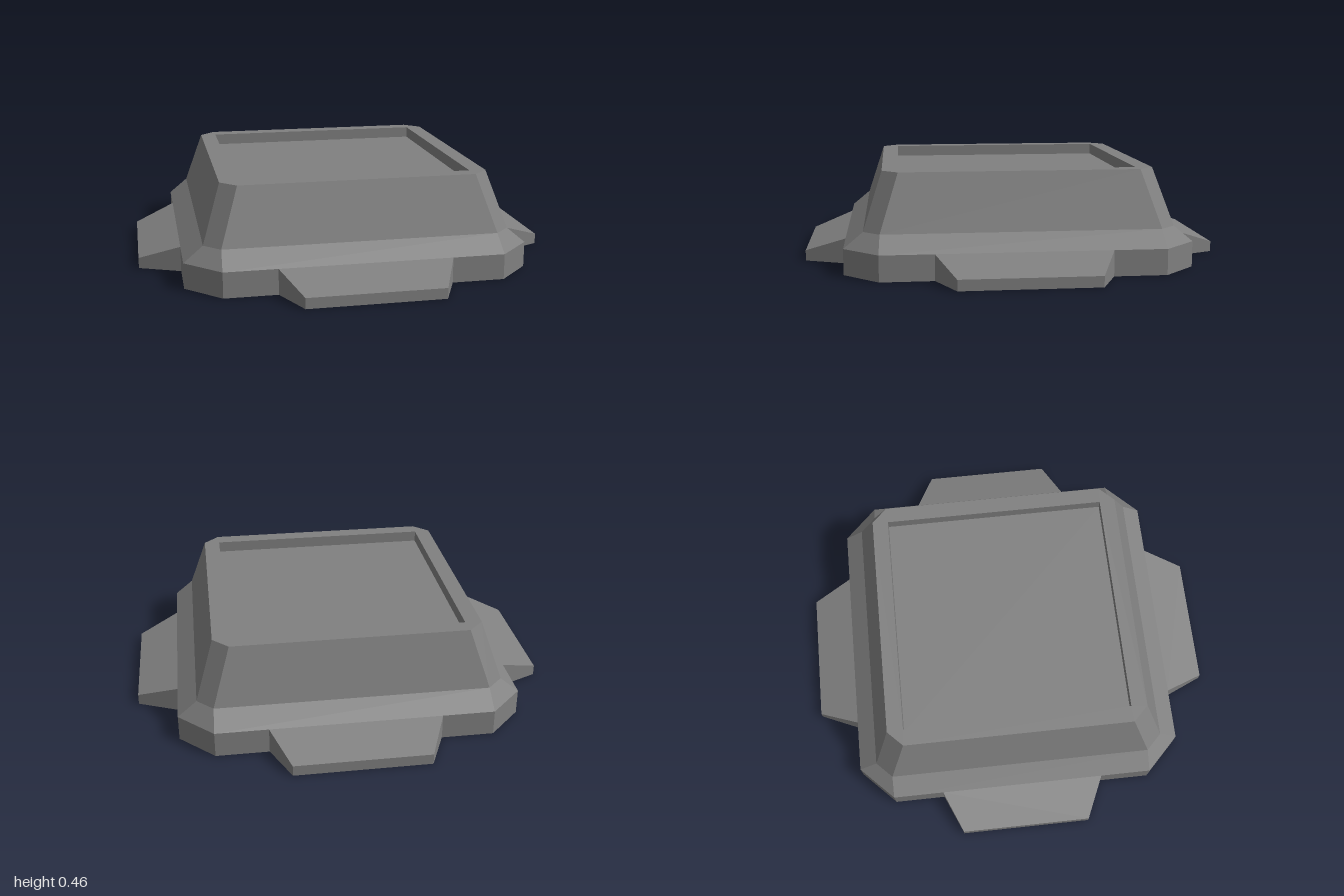
import * as THREE from 'three';

// Square ring with cut corners: half = side distance, corner = where the cut starts
function ring(half, corner, y) {
  const h = half, c = corner;
  return [[c, h], [h, c], [h, -c], [c, -h], [-c, -h], [-h, -c], [-h, c], [-c, h]]
    .map(([x, z]) => new THREE.Vector3(x, y, z));
}

// Flat-faced skin through successive rings, with optional end caps
function loft(rings, capStart, capEnd) {
  const pos = [];
  const tri = (a, b, c) => {
    const area = b.clone().sub(a).cross(c.clone().sub(a)).length();
    if (area > 1e-7) for (const p of [a, b, c]) pos.push(p.x, p.y, p.z);
  };
  for (let r = 0; r + 1 < rings.length; r++) {
    const a = rings[r], b = rings[r + 1], n = a.length;
    for (let i = 0; i < n; i++) {
      const j = (i + 1) % n;
      tri(a[i], a[j], b[j]);
      tri(a[i], b[j], b[i]);
    }
  }
  const first = rings[0], last = rings[rings.length - 1];
  for (let i = 1; i + 1 < first.length; i++) {
    if (capStart) tri(first[0], first[i + 1], first[i]);
    if (capEnd) tri(last[0], last[i], last[i + 1]);
  }
  const geo = new THREE.BufferGeometry();
  geo.setAttribute('position', new THREE.Float32BufferAttribute(pos, 3));
  geo.computeVertexNormals();
  return geo;
}

export function createModel() {
  const model = new THREE.Group();
  model.name = 'plinth';
  const grey = new THREE.MeshStandardMaterial({ color: 0x808080 });
  grey.name = 'grey';

  const add = (name, geo) => {
    const mesh = new THREE.Mesh(geo, grey);
    mesh.name = name;
    model.add(mesh);
    return mesh;
  };

  // Foot with its sloped shoulder
  const shoulder = ring(0.715, 0.64, 0.195);
  add('foot', loft([ring(0.805, 0.645, 0), ring(0.805, 0.645, 0.12), shoulder], true, false));

  // Tapered walls
  const top = ring(0.628, 0.555, 0.46);
  add('taperedWalls', loft([shoulder, top], false, false));

  // Rim and the square recess inside it
  add('rimAndRecess', loft([top, ring(0.55, 0.55, 0.46), ring(0.55, 0.55, 0.405)], false, true));

  // Four sloped tabs, one on each side
  const plan = [[-0.4, 0.805, 0.12], [-0.315, 1, 0.05], [0.315, 1, 0.05], [0.4, 0.805, 0.12]];
  const tabGeo = loft([
    plan.map(([x, z]) => new THREE.Vector3(x, 0, z)),
    plan.map(([x, z, y]) => new THREE.Vector3(x, y, z)),
  ], true, true);
  ['frontTab', 'leftTab', 'backTab', 'rightTab'].forEach((name, i) => {
    add(name, tabGeo).rotation.y = i * Math.PI / 2;
  });

  return model;
}
